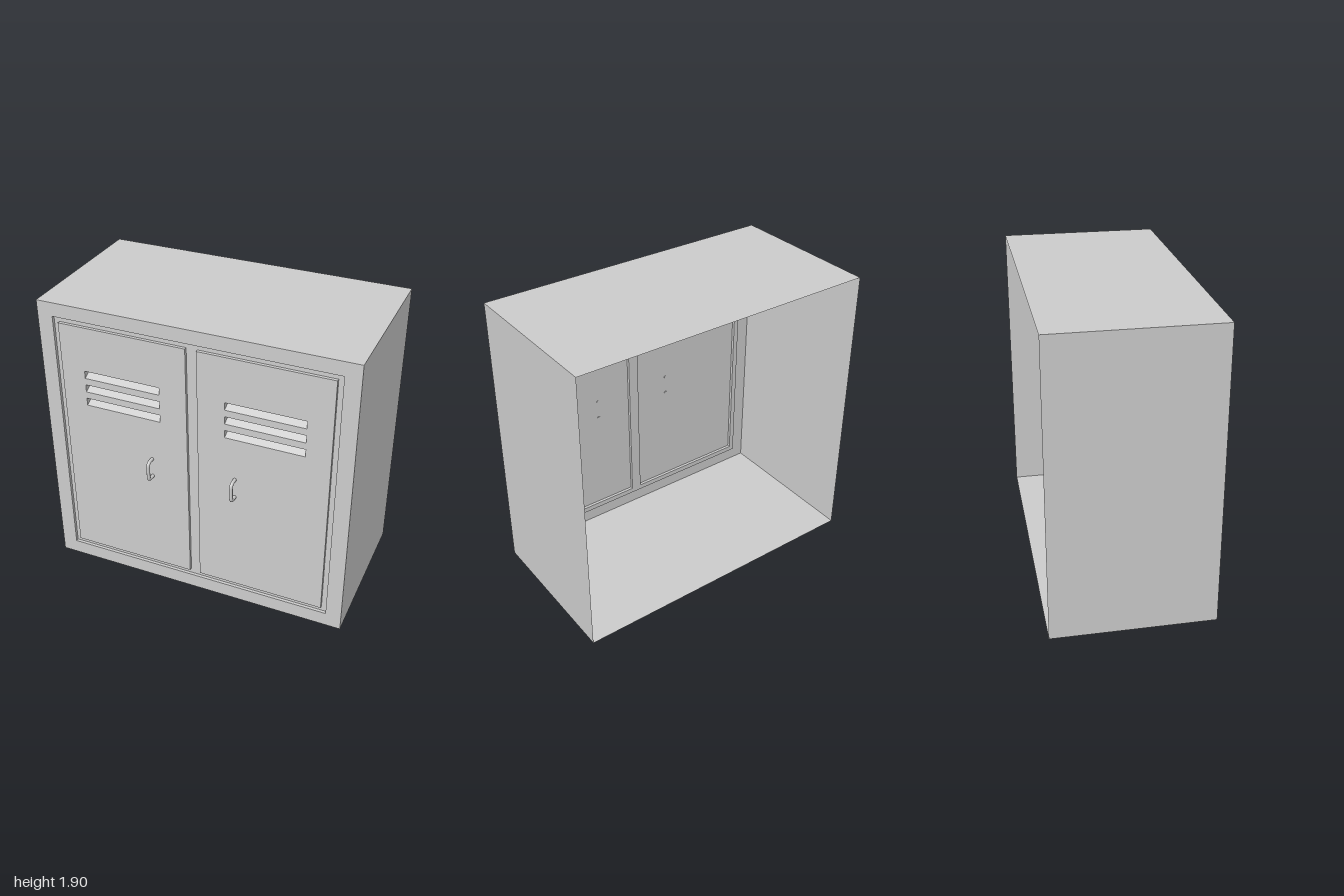
import * as THREE from 'three';

const material = new THREE.MeshStandardMaterial({ color: 0xcccccc, side: THREE.DoubleSide, flatShading: true });
const smooth = new THREE.MeshStandardMaterial({ color: 0xcccccc, side: THREE.DoubleSide });

const FRONT = 0.475, BACK = -0.55, HEIGHT = 1.9;
const GROOVE = 0.02;          // depth of the groove around the doors
const SLAT_DEPTH = 0.05;      // how far each vent is pressed inward
const OUTER = { x0: -1, x1: 1, y0: 0, y1: HEIGHT };
const OPENING = { x0: -0.9, x1: 0.9, y0: 0.095, y1: 1.81 };
const DOORS = [-1, 1].map(s => ({ ...mirrorX(0.035, 0.865, s), y0: 0.13, y1: 1.775 }));

function mirrorX(a, b, s) {
  return s > 0 ? { x0: a, x1: b } : { x0: -b, x1: -a };
}

function addMesh(parent, name, geometry, mat = material) {
  const mesh = new THREE.Mesh(geometry, mat);
  mesh.name = name;
  parent.add(mesh);
  return mesh;
}

// Sheet metal made of four-cornered faces, corners counter-clockwise from outside
function quads(list) {
  const pos = list.flatMap(([a, b, c, d]) => [a, b, c, a, c, d].flat());
  const g = new THREE.BufferGeometry();
  g.setAttribute('position', new THREE.Float32BufferAttribute(pos, 3));
  g.computeVertexNormals();
  return g;
}

function corners(r) {
  return [[r.x0, r.y0], [r.x1, r.y0], [r.x1, r.y1], [r.x0, r.y1]];
}

// Flat rectangle facing +z with rectangular holes
function panel(rect, holes, z) {
  const points = r => corners(r).map(p => new THREE.Vector2(...p));
  const shape = new THREE.Shape(points(rect));
  holes.forEach(h => shape.holes.push(new THREE.Path(points(h).reverse())));
  return new THREE.ShapeGeometry(shape).translate(0, 0, z);
}

// Four walls around a rectangle from zFront to zBack
function walls(rect, zFront, zBack, inward = false) {
  const c = corners(rect);
  return quads(c.map((p, i) => {
    const q = c[(i + 1) % 4];
    const face = [[...p, zBack], [...q, zBack], [...q, zFront], [...p, zFront]];
    return inward ? face.reverse() : face;
  }));
}

// Vent pocket: sloping sill, short upright back, flat top and two ends
function vent({ x0, x1, y0, y1 }) {
  const z = FRONT, zb = FRONT - SLAT_DEPTH, ym = (y0 + y1) / 2;
  const profile = [[y0, z], [ym, zb], [y1, zb], [y1, z]];
  const at = (x, i) => [x, ...profile[i]];
  const faces = [0, 1, 2].map(i => [at(x0, i), at(x1, i), at(x1, i + 1), at(x0, i + 1)]);
  faces.push([0, 1, 2, 3].map(i => at(x0, i)), [3, 2, 1, 0].map(i => at(x1, i)));
  return quads(faces);
}

// Bent-rod pull handle with rounded corners
function handle(x) {
  const r = 0.03, zOut = 0.533, zIn = FRONT - 0.004, yLow = 0.827, yHigh = 0.955;
  const v = (y, z) => new THREE.Vector3(x, y, z);
  const path = new THREE.CurvePath();
  path.add(new THREE.LineCurve3(v(yLow, zIn), v(yLow, zOut - r)));
  path.add(new THREE.QuadraticBezierCurve3(v(yLow, zOut - r), v(yLow, zOut), v(yLow + r, zOut)));
  path.add(new THREE.LineCurve3(v(yLow + r, zOut), v(yHigh - r, zOut)));
  path.add(new THREE.QuadraticBezierCurve3(v(yHigh - r, zOut), v(yHigh, zOut), v(yHigh, zOut - r)));
  path.add(new THREE.LineCurve3(v(yHigh, zOut - r), v(yHigh, zIn)));
  return { geometry: new THREE.TubeGeometry(path, 40, 0.011, 12), ends: [v(yLow, zIn), v(yHigh, zIn)] };
}

export function createModel() {
  const group = new THREE.Group();
  group.name = 'lockerCabinet';

  // Open-backed shell and front frame
  addMesh(group, 'cabinetShell', walls(OUTER, FRONT, BACK));
  addMesh(group, 'frontFrame', panel(OUTER, [OPENING], FRONT));

  // Groove around and between the doors
  addMesh(group, 'grooveWall', walls(OPENING, FRONT, FRONT - GROOVE, true));
  addMesh(group, 'grooveFloor', panel(OPENING, DOORS, FRONT - GROOVE));

  // Two mirrored doors, each with three vents and a handle
  DOORS.forEach((rect, i) => {
    const side = i ? 1 : -1;
    const door = new THREE.Group();
    door.name = i ? 'leftDoor' : 'rightDoor';
    const vents = [1.24, 1.335, 1.43].map(y => ({ ...mirrorX(0.21, 0.71, side), y0: y, y1: y + 0.05 }));
    addMesh(door, 'doorPanel', panel(rect, vents, FRONT));
    addMesh(door, 'doorEdge', walls(rect, FRONT, FRONT - GROOVE));
    vents.forEach(v => addMesh(door, 'vent', vent(v)));

    const { geometry, ends } = handle(side * 0.277);
    addMesh(door, 'handle', geometry, smooth);
    ends.forEach(p => {
      const cap = addMesh(door, 'handleEnd', new THREE.CircleGeometry(0.011, 12));
      cap.position.copy(p);
      cap.rotation.y = Math.PI;
    });
    group.add(door);
  });

  return group;
}
